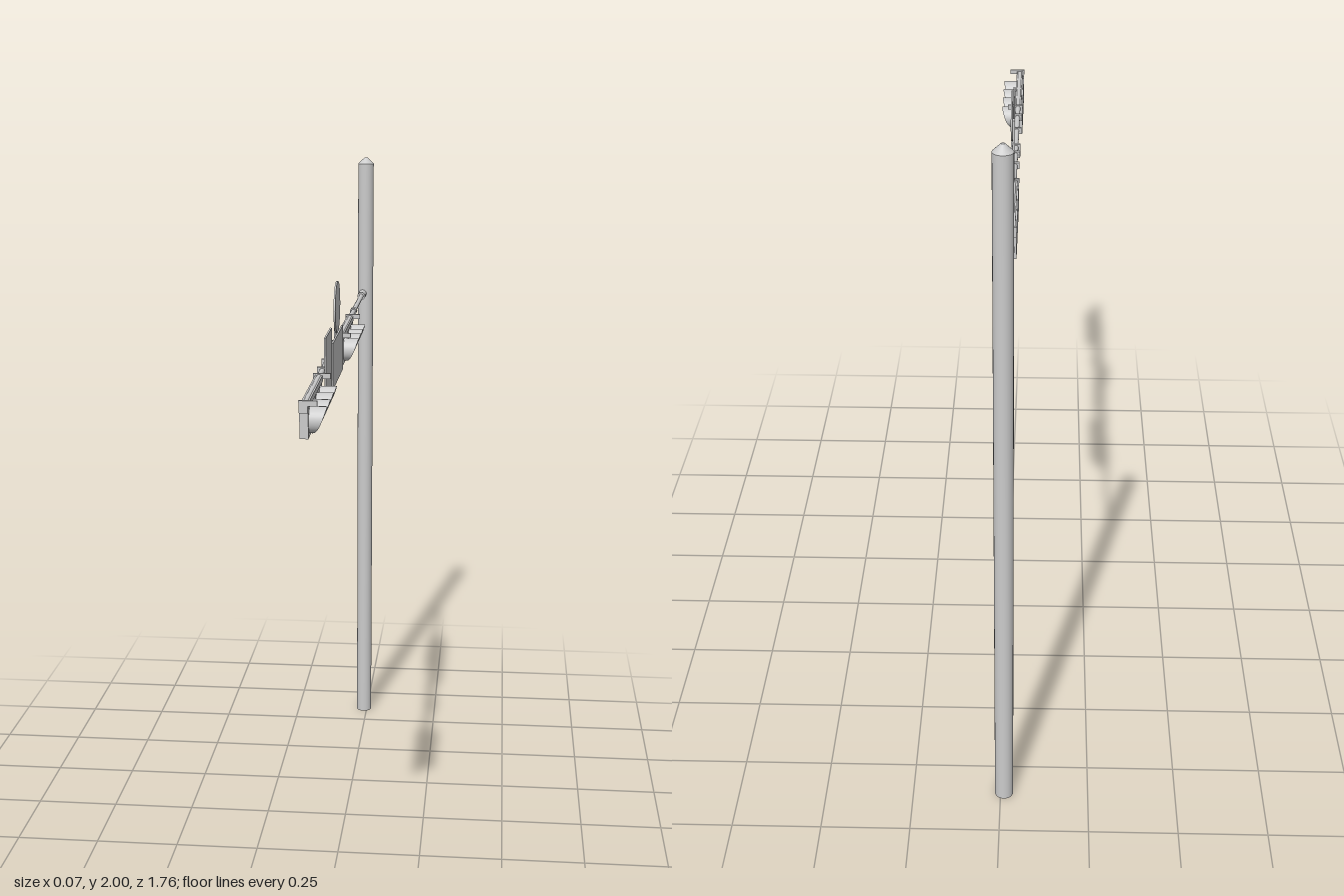
import * as THREE from 'three';

const grey = new THREE.MeshStandardMaterial({ color: 0xcccccc });
const greyOpen = new THREE.MeshStandardMaterial({ color: 0xcccccc, side: THREE.DoubleSide });

const ARM_X = -0.018, ARM_Y = 1.546, POLE_X = -0.01, POLE_Z = -0.853;
const SIGN_X = -0.008;

function add(parent, name, geometry, x, y, z, material = grey) {
  const mesh = new THREE.Mesh(geometry, material);
  mesh.name = name;
  mesh.position.set(x, y, z);
  parent.add(mesh);
  return mesh;
}

const box = (w, h, d) => new THREE.BoxGeometry(w, h, d);
// Round bar running along z
const rodZ = (r, z0, z1, sides = 16) => new THREE.CylinderGeometry(r, r, z1 - z0, sides)
  .rotateX(Math.PI / 2).translate(0, 0, (z0 + z1) / 2);

// Hood facing +x: long at the top, cut away towards the bottom
function visorGeometry(r, length) {
  const g = new THREE.CylinderGeometry(r, r, length, 28, 1, true)
    .rotateZ(-Math.PI / 2).translate(length / 2, 0, 0);
  const p = g.attributes.position;
  for (let i = 0; i < p.count; i++) {
    const t = Math.max(0, (1 + p.getY(i) / r) / 2);
    p.setX(i, p.getX(i) * (0.08 + 0.92 * Math.sqrt(t)));
  }
  return g;
}

// Horizontal four-lamp signal hung under the arm
function createSignal(zCentre) {
  const signal = new THREE.Group();
  signal.name = 'signal';
  signal.position.z = zCentre;
  // Two-section housing with a narrow seam
  for (const s of [-1, 1]) add(signal, 'housing', box(0.022, 0.076, 0.156), -0.021, 1.496, s * 0.079);
  add(signal, 'housingSeam', box(0.017, 0.07, 0.01), -0.021, 1.496, 0);
  // Rail and end clamps that grip the arm
  add(signal, 'mountRail', box(0.02, 0.016, 0.32), ARM_X, 1.543, 0);
  for (const s of [-1, 1]) {
    add(signal, 'endClamp', box(0.046, 0.014, 0.007), -0.01, 1.549, s * 0.162);
    add(signal, 'endPlate', box(0.022, 0.03, 0.007), -0.021, 1.539, s * 0.162);
  }
  const visor = visorGeometry(0.0335, 0.043);
  const lens = new THREE.SphereGeometry(0.033, 24, 8, 0, Math.PI * 2, 0, Math.PI / 2)
    .scale(1, 0.3, 1).rotateZ(-Math.PI / 2);
  for (let i = 0; i < 4; i++) {
    const z = (i - 1.5) * 0.078;
    add(signal, 'visor', visor, -0.01, 1.498, z, greyOpen);
    add(signal, 'lens', lens, -0.0105, 1.498, z);
  }
  return signal;
}

// Flat rectangular sign with two clamps on the arm
function createSign(name, z0, z1, y0, y1, clamps) {
  const sign = new THREE.Group();
  sign.name = name;
  add(sign, 'panel', box(0.005, y1 - y0, z1 - z0), SIGN_X, (y0 + y1) / 2, (z0 + z1) / 2);
  for (const z of clamps) {
    add(sign, 'clamp', box(0.022, 0.02, 0.01), -0.021, ARM_Y, z);
  }
  return sign;
}

export function createModel() {
  const model = new THREE.Group();
  model.name = 'signalMast';

  // Pole with a bevelled cap
  add(model, 'pole', new THREE.CylinderGeometry(0.026, 0.026, 1.98, 24), POLE_X, 0.99, POLE_Z);
  add(model, 'poleCap', new THREE.CylinderGeometry(0.005, 0.026, 0.02, 24), POLE_X, 1.99, POLE_Z);

  // Arm, wall socket and joint collar
  add(model, 'arm', rodZ(0.0075, -0.84, 0.87), ARM_X, ARM_Y, 0);
  add(model, 'armSocket', rodZ(0.013, -0.84, -0.77), ARM_X, ARM_Y, 0);
  add(model, 'armCollar', rodZ(0.011, -0.487, -0.46), ARM_X, ARM_Y, 0);

  // Signals
  model.add(createSignal(-0.19), createSignal(0.715));

  // Signs
  model.add(createSign('tallSign', 0.342, 0.493, 1.458, 1.638, [0.362, 0.472]));
  model.add(createSign('wideSign', 0.021, 0.31, 1.458, 1.588, [0.09, 0.23]));

  // Round sign on a short post
  const disc = new THREE.CylinderGeometry(0.073, 0.073, 0.005, 20).rotateZ(Math.PI / 2);
  add(model, 'roundSign', disc, SIGN_X, 1.667, 0.174);
  add(model, 'roundSignPost', box(0.006, 0.12, 0.02), SIGN_X - 0.005, 1.595, 0.174);
  add(model, 'roundSignClamp', box(0.022, 0.02, 0.012), -0.021, ARM_Y, 0.174);

  return model;
}
